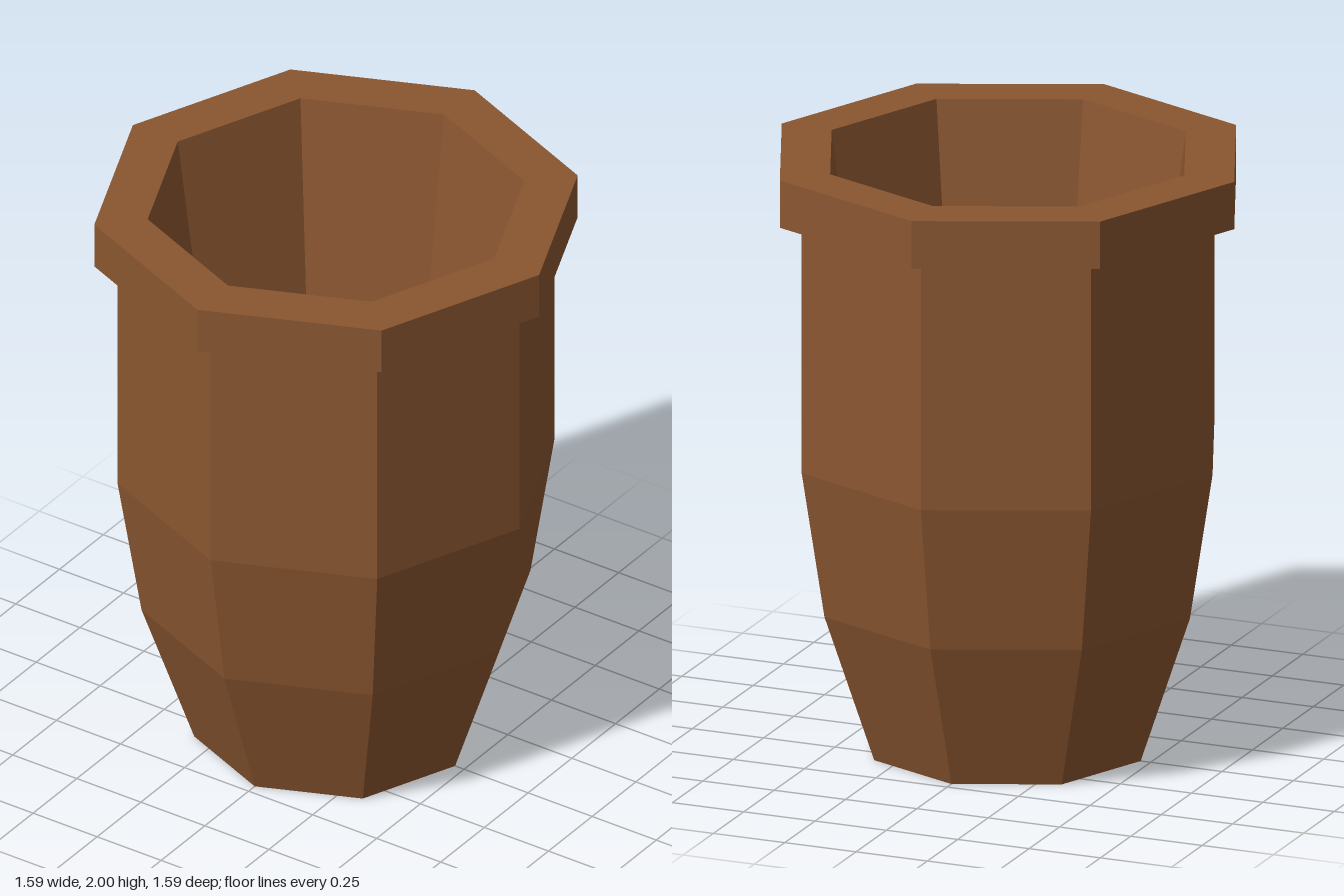
import * as THREE from 'three';

const SIDES = 8;

// Faceted ring of revolution; the profile runs up the outside and down the inside.
function facetedLathe(name, profile, material) {
  const points = profile.map(([r, y]) => new THREE.Vector2(r, y));
  const geometry = new THREE.LatheGeometry(points, SIDES).toNonIndexed();
  geometry.computeVertexNormals();
  const mesh = new THREE.Mesh(geometry, material);
  mesh.name = name;
  return mesh;
}

export function createModel() {
  const clay = new THREE.MeshStandardMaterial({ color: 0x8a5630 });
  clay.name = 'brown clay';

  const pot = new THREE.Group();
  pot.name = 'pot';

  pot.add(
    // Base and outer wall
    facetedLathe('outerWall', [[0, 0], [0.465, 0], [0.638, 0.505], [0.717, 1], [0.717, 1.84]], clay),
    // Overhanging rim
    facetedLathe('rim', [[0.717, 1.84], [0.793, 1.84], [0.793, 2], [0.618, 2]], clay),
    // Tapered hollow and its floor
    facetedLathe('innerWall', [[0.618, 2], [0.37, 0.22], [0, 0.22]], clay),
  );
  return pot;
}
